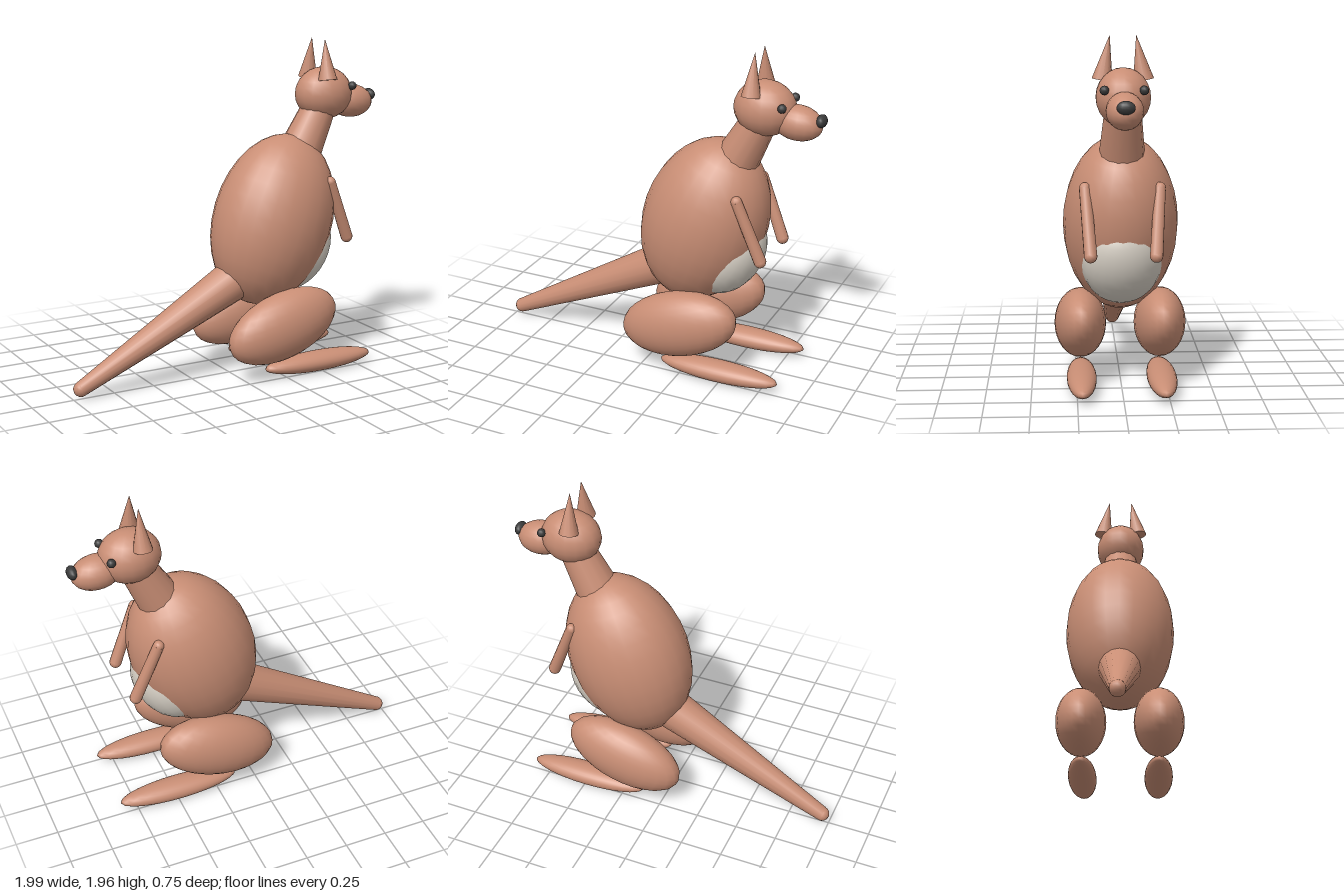
import * as THREE from 'three';

const fur = new THREE.MeshStandardMaterial({ color: 0xc98e75 });
fur.name = 'fur';
const cream = new THREE.MeshStandardMaterial({ color: 0xd8d1c6 });
cream.name = 'cream';
const dark = new THREE.MeshStandardMaterial({ color: 0x3a3a3a });
dark.name = 'dark';

export function createModel() {
  const model = new THREE.Group();
  model.name = 'hoppingAnimal';

  const add = (name, geometry, material) => {
    const mesh = new THREE.Mesh(geometry, material);
    mesh.name = name;
    model.add(mesh);
    return mesh;
  };

  // Sphere stretched to three radii, then tilted in the side plane
  const ellipsoid = (name, centre, radii, tilt = 0, material = fur, segments = 24) => {
    const geometry = new THREE.SphereGeometry(1, segments, Math.round(segments * 0.67));
    const mesh = add(name, geometry, material);
    mesh.scale.set(...radii);
    mesh.rotation.z = tilt;
    mesh.position.set(...centre);
    return mesh;
  };

  // Tapered cylinder between two points; a zero end radius makes a cone
  const limb = (name, from, to, r0, r1, sides = 14) => {
    const a = new THREE.Vector3(...from);
    const b = new THREE.Vector3(...to);
    const axis = b.clone().sub(a);
    const mesh = add(name, new THREE.CylinderGeometry(r1, r0, axis.length(), sides), fur);
    mesh.position.copy(a).add(b).multiplyScalar(0.5);
    mesh.quaternion.setFromUnitVectors(new THREE.Vector3(0, 1, 0), axis.normalize());
    return mesh;
  };

  // Torso and pale belly patch
  ellipsoid('body', [0.295, 0.905, 0], [0.365, 0.518, 0.322], -0.33);
  ellipsoid('belly', [0.445, 0.72, 0], [0.197, 0.273, 0.226], -0.546, cream);

  // Tail with rounded tip
  limb('tail', [0.06, 0.585, 0], [-0.955, 0.062, 0], 0.125, 0.044, 16);
  ellipsoid('tailTip', [-0.955, 0.062, 0], [0.044, 0.044, 0.044], 0, fur, 14);

  // Neck and head
  limb('neck', [0.45, 1.24, 0], [0.62, 1.57, 0], 0.133, 0.098, 14);
  ellipsoid('head', [0.64, 1.634, 0], [0.178, 0.157, 0.148], 0, fur, 18);
  ellipsoid('muzzle', [0.83, 1.577, 0], [0.145, 0.099, 0.1], -0.08, fur, 18);
  ellipsoid('nose', [0.966, 1.606, 0], [0.03, 0.036, 0.05], 0, dark, 14);

  // Paired parts
  for (const [side, s] of [['left', -1], ['right', 1]]) {
    ellipsoid(side + 'Eye', [0.775, 1.68, s * 0.104], [0.025, 0.025, 0.025], 0, dark, 12);
    limb(side + 'Ear', [0.598, 1.723, s * 0.11], [0.6, 1.96, s * 0.07], 0.056, 0, 12);

    const shoulder = [0.565, 1.138, s * 0.203];
    const hand = [0.705, 0.79, s * 0.176];
    limb(side + 'Arm', shoulder, hand, 0.032, 0.036, 12);
    ellipsoid(side + 'Shoulder', shoulder, [0.032, 0.032, 0.032], 0, fur, 12);
    ellipsoid(side + 'Paw', hand, [0.036, 0.036, 0.036], 0, fur, 12);

    ellipsoid(side + 'Thigh', [0.235, 0.317, s * 0.226], [0.365, 0.198, 0.147], 0.28);
    ellipsoid(side + 'Foot', [0.485, 0.063, s * 0.223], [0.365, 0.06, 0.083]);
  }
  return model;
}
